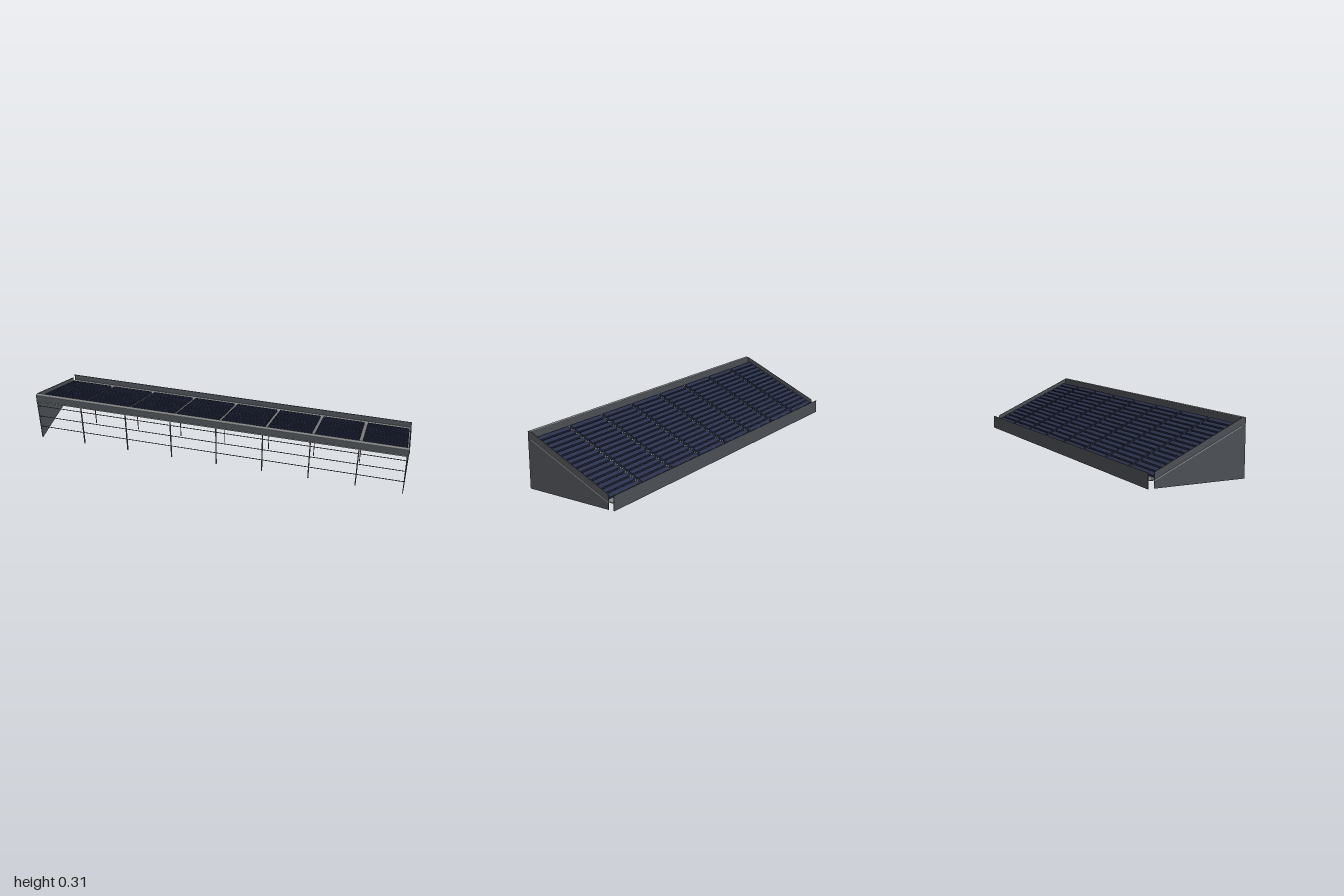
import * as THREE from 'three';
import { mergeGeometries } from 'three/addons/utils/BufferGeometryUtils.js';

const mat = (name, color) => {
  const m = new THREE.MeshStandardMaterial({ color });
  m.name = name;
  return m;
};

// Local frame: x along the roof, z from the low edge (-) to the high edge (+)
const HALF = 1.068, EDGE = 0.277, BAYS = 8, BAY = (2 * HALF) / BAYS;
const LOW = -0.242, HIGH = 0.255;       // ends of the sloping deck
const DECK_LOW = 0.04, DECK_HIGH = 0.268;
const RISE = DECK_HIGH - DECK_LOW, RUN = HIGH - LOW;
const SLOPE = Math.hypot(RISE, RUN), PITCH = Math.atan2(RISE, RUN);
const MID = 0.07;                       // inner post line
const WALL = 0.004;                     // end wall thickness

export function createModel() {
  const cladding = mat('cladding', 0x4b4f54);
  const frame = mat('frameGrey', 0x838486);
  const cell = mat('solarBlue', 0x29304a);
  const under = mat('undersideGrey', 0x646665);
  const steel = mat('steel', 0x5a5c5c);
  const trimGrey = mat('trimGrey', 0x9a9b9b);

  const model = new THREE.Group();
  model.name = 'solarCanopy';
  const body = new THREE.Group();
  body.name = 'canopyBody';
  body.rotation.y = -Math.atan2(1.645, 1.355);
  model.add(body);

  const add = (name, geometry, material, parent = body) => {
    const m = new THREE.Mesh(geometry, material);
    m.name = name;
    parent.add(m);
    return m;
  };
  // Box given by its minimum and maximum corners
  const span = (x0, x1, y0, y1, z0, z1) =>
    new THREE.BoxGeometry(x1 - x0, y1 - y0, z1 - z0)
      .translate((x0 + x1) / 2, (y0 + y1) / 2, (z0 + z1) / 2);

  // Sloping deck: its own z runs up the slope
  const deck = new THREE.Group();
  deck.name = 'slopingDeck';
  deck.position.set(0, DECK_LOW, LOW);
  deck.rotation.x = -PITCH;
  body.add(deck);
  add('deckUnderside', span(-HALF + WALL, HALF - WALL, 0, 0.002, 0, SLOPE), under, deck);
  add('deckTop', span(-HALF + WALL, HALF - WALL, 0.002, 0.004, 0, SLOPE), frame, deck);

  // Raised rows of solar slats in each bay
  const ROWS = 15, step = (SLOPE - 0.012) / ROWS, slats = [];
  for (let b = 0; b < BAYS; b++) {
    const x = -HALF + b * BAY;
    for (let r = 0; r < ROWS; r++) {
      const z = 0.006 + r * step;
      slats.push(span(x + 0.01, x + BAY - 0.01, 0.004, 0.017, z + 0.005, z + step - 0.005));
    }
  }
  add('solarSlats', mergeGeometries(slats), cell, deck);

  // High edge beam with capping and drip trim
  add('highFascia', span(-HALF, HALF, 0.267, 0.307, HIGH, EDGE), cladding);
  add('highCapping', span(-HALF, HALF, 0.307, 0.31, HIGH, EDGE), frame);
  add('highTrim', span(-HALF, HALF, 0.264, 0.269, EDGE - 0.004, EDGE + 0.002), trimGrey);

  // Low edge board and gutter
  add('lowFascia', span(-HALF, HALF, 0, 0.08, -EDGE, -EDGE + 0.003), cladding);
  add('gutterFloor', span(-HALF, HALF, 0.041, 0.043, -EDGE + 0.003, LOW + 0.004), frame);
  add('gutterUnderside', span(-HALF, HALF, 0.039, 0.041, -EDGE + 0.003, LOW + 0.004), under);

  // Wedge-shaped end walls with a sloping trim line
  const wall = new THREE.Shape([
    [EDGE, 0], [EDGE, 0.309], [HIGH, 0.309], [LOW, 0.08], [LOW, 0],
  ].map(([z, y]) => new THREE.Vector2(z, y)));
  const wallGeo = new THREE.ExtrudeGeometry(wall, { depth: WALL, bevelEnabled: false })
    .rotateY(-Math.PI / 2).translate(WALL / 2, 0, 0);
  for (const s of [-1, 1]) {
    add('endWall', wallGeo, cladding).position.x = s * (HALF - WALL / 2);
    const trim = add('endWallTrim', new THREE.BoxGeometry(0.006, 0.005, SLOPE), trimGrey);
    trim.position.set(s * HALF, (DECK_LOW + DECK_HIGH) / 2, (LOW + HIGH) / 2);
    trim.rotation.x = -PITCH;
  }

  // Slim posts under the deck between the bays
  const deckAt = (z) => DECK_LOW + (RISE * (z - LOW)) / RUN;
  for (let b = 1; b < BAYS; b++) {
    const x = -HALF + b * BAY;
    add('highPost', span(x - 0.003, x + 0.003, 0, 0.268, EDGE - 0.01, EDGE - 0.004), steel);
    add('innerPost', span(x - 0.002, x + 0.002, 0, deckAt(MID), MID - 0.002, MID + 0.002), steel);
  }

  // Thin horizontal rails along the open high side
  for (const y of [0.08, 0.155, 0.23]) {
    add('rail', span(-HALF + WALL, HALF - WALL, y - 0.0015, y + 0.0015, EDGE - 0.0085, EDGE - 0.0055), steel);
  }

  return model;
}
